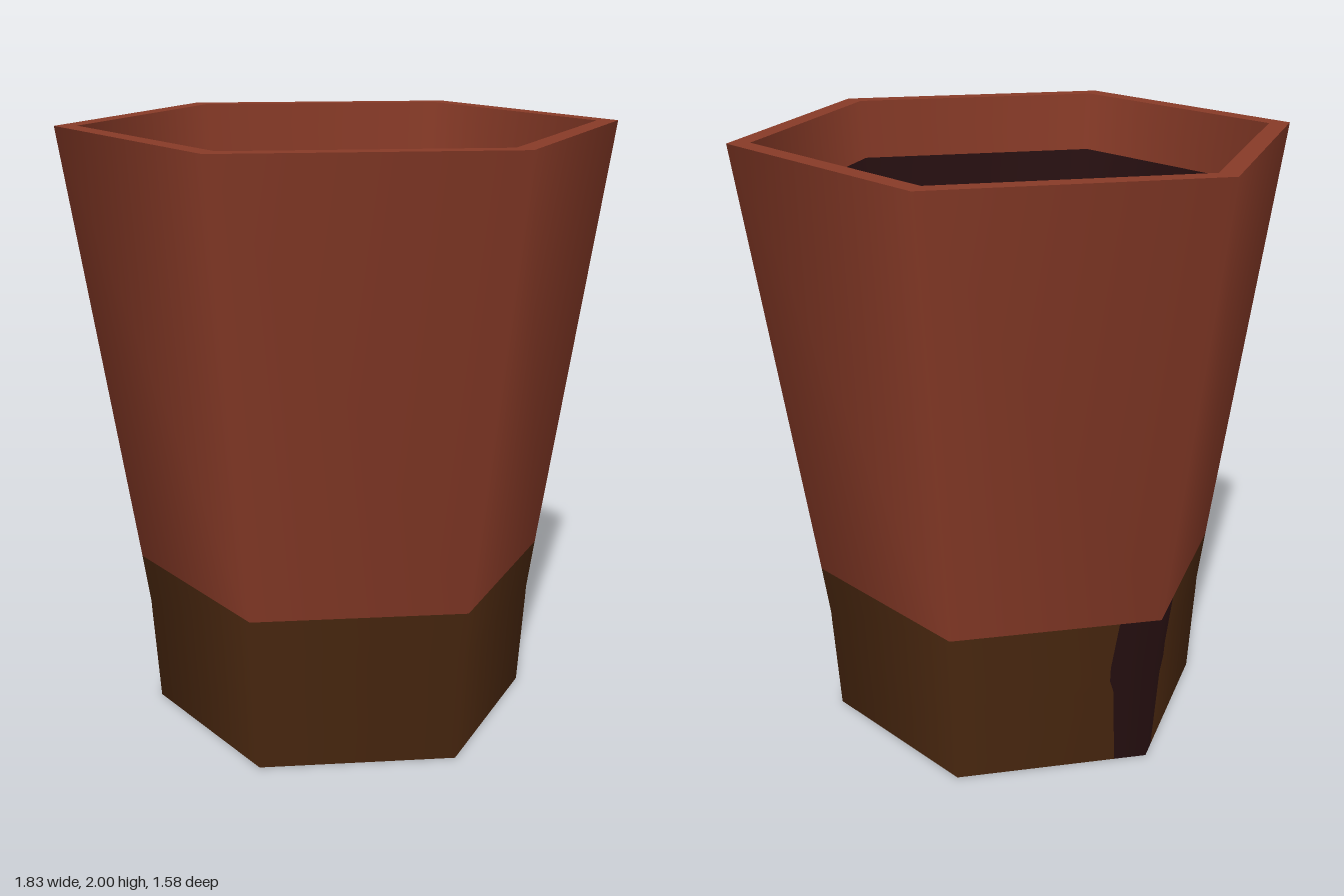
import * as THREE from 'three';

const terracotta = new THREE.MeshStandardMaterial({ color: 0x873a27, name: 'terracotta' });
const darkBrown = new THREE.MeshStandardMaterial({ color: 0x49270f, name: 'dark brown', side: THREE.DoubleSide });
const darkEarth = new THREE.MeshStandardMaterial({ color: 0x260f10, name: 'dark earth', side: THREE.DoubleSide });

// Six-sided wall with smooth shading; corners lie on the x axis
function hexLathe(points) {
  return new THREE.LatheGeometry(points.map(([r, y]) => new THREE.Vector2(r, y)), 6, Math.PI / 2);
}

// Horizontal disc; six sides give a hexagon with corners on the x axis
function disc(radius, y, sides, facing) {
  const g = new THREE.CircleGeometry(radius, sides);
  g.rotateX(-facing * Math.PI / 2);
  g.translate(0, y, 0);
  return g;
}

// Foot levels: height, radius, and seam edges as positions along the perimeter (0 to 6)
const footLevels = [
  [0, 0.64, 2.89, 3.17],
  [0.27, 0.659, 2.84, 3.2],
  [0.31, 0.662, 2.78, 3.22],
  [0.36, 0.665, 2.77, 3.22],
  [0.53, 0.69, 2.76, 3.2],
];

// Part of the hexagonal foot; columns(level) lists perimeter positions at that level
function footStrip(columns) {
  const position = [], normal = [], index = [];
  const corner = (k) => [Math.cos(k * Math.PI / 3), Math.sin(k * Math.PI / 3)];
  let n = 0;
  footLevels.forEach((level, row) => {
    const cols = columns(level);
    n = cols.length;
    cols.forEach((s, i) => {
      const k = Math.floor(s), t = s - k;
      const [ax, az] = corner(k), [bx, bz] = corner(k + 1);
      const x = ax + (bx - ax) * t, z = az + (bz - az) * t;
      const d = Math.hypot(x, z);
      position.push(x * level[1], level[0], z * level[1]);
      normal.push(x / d, -0.07, z / d);
      if (row > 0 && i > 0) {
        const p = (row - 1) * n + i - 1, q = p + n;
        index.push(p, q, p + 1, p + 1, q, q + 1);
      }
    });
  });
  const g = new THREE.BufferGeometry();
  g.setAttribute('position', new THREE.Float32BufferAttribute(position, 3));
  g.setAttribute('normal', new THREE.Float32BufferAttribute(normal, 3));
  g.setIndex(index);
  g.normalizeNormals();
  return g;
}

export function createModel() {
  const group = new THREE.Group();
  group.name = 'hexagonalPlanter';
  const add = (name, geometry, material) => {
    const mesh = new THREE.Mesh(geometry, material);
    mesh.name = name;
    group.add(mesh);
  };

  // Flared outer wall, flat rim and the clear lip inside it
  add('outerWall', hexLathe([[0.69, 0.53], [0.915, 2]]), terracotta);
  add('rim', hexLathe([[0.915, 2], [0.842, 2]]), terracotta);
  add('innerLip', hexLathe([[0.842, 2], [0.82, 1.8]]), terracotta);

  // Dark lining, floor, and the plug in the floor
  add('innerWall', hexLathe([[0.82, 1.8], [0.58, 0.55]]), darkEarth);
  add('floor', disc(0.58, 0.55, 6, 1), darkEarth);
  add('floorUnderside', disc(0.69, 0.53, 6, -1), darkEarth);
  add('drainPlug', disc(0.05, 0.556, 12, 1), darkBrown);

  // Thin open foot with a dark seam on one corner
  add('foot', footStrip(([, , a, b]) => [b, 4, 5, 6, 7, 8, 6 + a]), darkBrown);
  add('footSeam', footStrip(([, , a, b]) => [a, 3, b]), darkEarth);

  return group;
}
